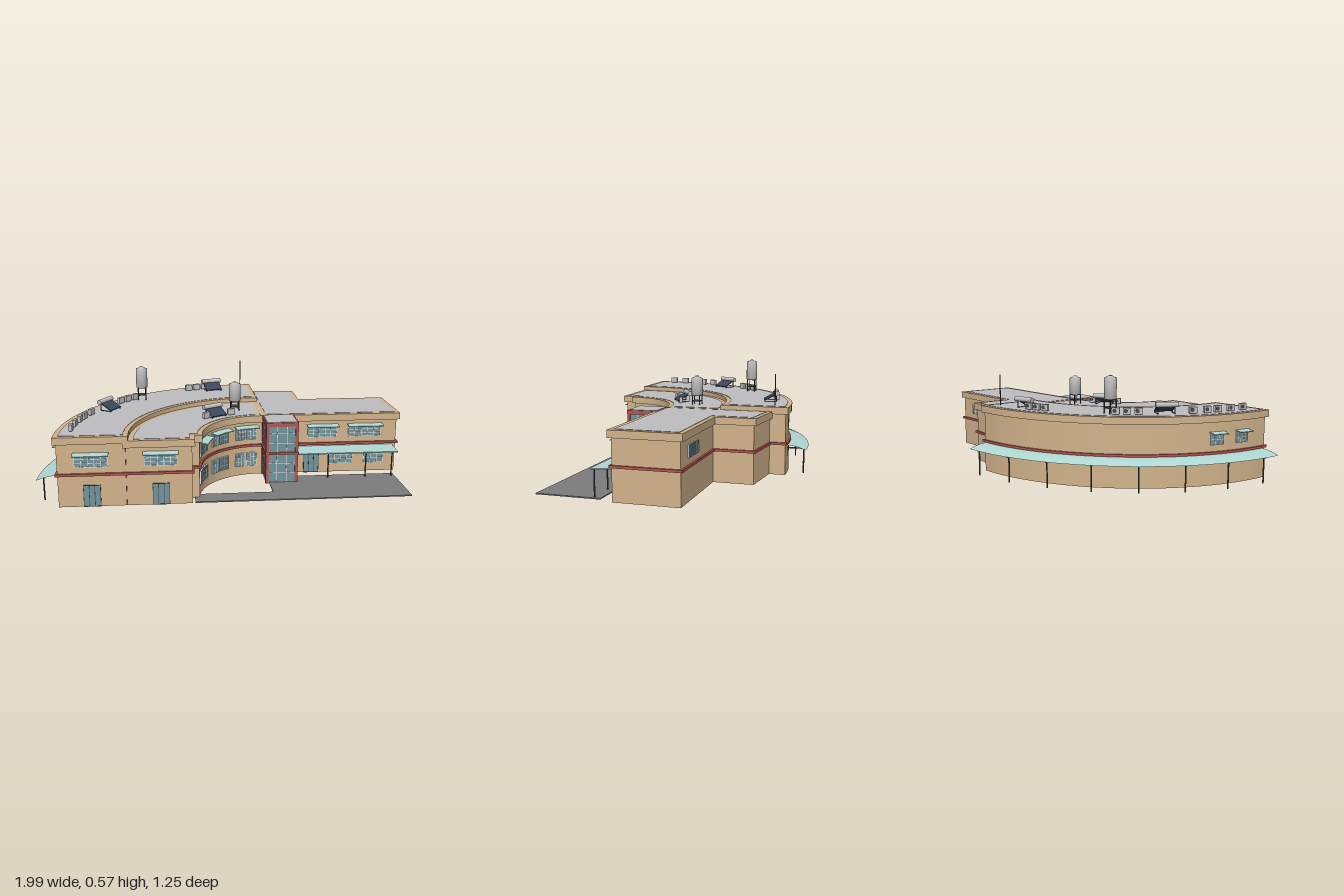
import * as THREE from 'three';

const PI = Math.PI;
const mat = (name, color, side = THREE.FrontSide) => {
  const m = new THREE.MeshStandardMaterial({ color, side });
  m.name = name;
  return m;
};

// Arc of plan points [x, z]; angle PI is -x, 1.5 PI is -z
const arc = (cx, cz, r, a0, a1, n = 40) =>
  Array.from({ length: n + 1 }, (_, i) => {
    const a = a0 + ((a1 - a0) * i) / n;
    return [cx + r * Math.cos(a), cz + r * Math.sin(a)];
  });

// Mitred offset of a closed plan, positive is outward
function offset(pts, d) {
  const n = pts.length;
  let area = 0;
  pts.forEach(([x, z], i) => {
    const q = pts[(i + 1) % n];
    area += x * q[1] - q[0] * z;
  });
  const s = Math.sign(area);
  const normal = (p, q) => {
    const dx = q[0] - p[0], dz = q[1] - p[1], l = Math.hypot(dx, dz);
    return [(s * dz) / l, (-s * dx) / l];
  };
  return pts.map((p, i) => {
    const a = normal(pts[(i + n - 1) % n], p), b = normal(p, pts[(i + 1) % n]);
    const k = d / (1 + a[0] * b[0] + a[1] * b[1]);
    return [p[0] + k * (a[0] + b[0]), p[1] + k * (a[1] + b[1])];
  });
}

export function createModel() {
  const M = {
    wall: mat('tan wall', 0xd2b48c),
    roof: mat('grey roof', 0xbebec1),
    red: mat('red trim', 0xb5544f),
    glass: mat('blue glass', 0x73959d),
    canopy: mat('pale teal canopy', 0xb0d8d3, THREE.DoubleSide),
    paving: mat('dark paving', 0x7c7c7c),
    metal: mat('tank metal', 0xc2c2c2),
    panel: mat('solar panel blue', 0x3b475c),
    dark: mat('dark steel', 0x44484a),
    white: mat('white frame', 0xe6e8e8),
  };
  const model = new THREE.Group();
  model.name = 'building';

  const add = (parent, name, geo, m, x = 0, y = 0, z = 0) => {
    const mesh = new THREE.Mesh(geo, m);
    mesh.name = name;
    mesh.position.set(x, y, z);
    parent.add(mesh);
    return mesh;
  };
  const box = (p, name, m, w, h, d, x, y, z) => add(p, name, new THREE.BoxGeometry(w, h, d), m, x, y, z);
  const rod = (p, name, m, r, h, x, y, z, n = 8) => add(p, name, new THREE.CylinderGeometry(r, r, h, n), m, x, y, z);
  const group = (name, x, y, z, rotY = 0) => {
    const g = new THREE.Group();
    g.name = name;
    g.position.set(x, y, z);
    g.rotation.y = rotY;
    model.add(g);
    return g;
  };
  const slab = (name, pts, y0, y1, m) => {
    const shape = new THREE.Shape(pts.map(([x, z]) => new THREE.Vector2(x, -z)));
    const geo = new THREE.ExtrudeGeometry(shape, { depth: y1 - y0, bevelEnabled: false });
    geo.rotateX(-PI / 2);
    add(model, name, geo, m, 0, y0, 0);
  };

  // Plans of the two curved wings and the straight wing
  const CX = 0.185, CZ = 0.555;
  const outer = [[-0.9, 0.59], ...arc(CX, CZ, 1.085, PI, 1.5 * PI), [0.215, -0.53], [0.215, -0.156],
    ...arc(CX, CZ, 0.711, 1.5 * PI, PI), [-0.526, 0.59]];
  const innerPlan = (r) => [[CX - r, 0.59], ...arc(CX, CZ, r, PI, 1.5 * PI), [0.215, CZ - r], [0.215, 0.17],
    ...arc(0.2, 0.52, 0.35, 1.5 * PI, PI), [-0.19, 0.52], [-0.19, 0.59]];
  const wingPlan = (x) => [[x, -0.445], [0.48, -0.415], [0.48, -0.2], [1, -0.2], [1, 0.17], [x, 0.17]];

  for (const [name, plan, roofPlan, top] of [
    ['outerWing', outer, outer, 0.372],
    ['innerWing', innerPlan(0.74), innerPlan(0.711), 0.348],
    ['straightWing', wingPlan(0.18), wingPlan(0.205), 0.347],
  ]) {
    slab(name + 'Walls', offset(plan, -0.015), 0, top - 0.03, M.wall);
    slab(name + 'Coping', plan, top - 0.038, top, M.wall);
    slab(name + 'Roof', offset(roofPlan, -0.025), top - 0.01, top + 0.002, M.roof);
    slab(name + 'Stripe', offset(plan, -0.004), 0.166, 0.179, M.red);
  }

  // Paved forecourt
  slab('forecourt', [[-0.19, 0.575], [-0.19, 0.465], [0.23, 0.465], [0.23, 0.23], [0.955, 0.23], [0.955, 0.575]], 0, 0.006, M.paving);

  // Glazed window or door, local +z faces out of the wall
  const opening = (name, x, y0, z, rotY, w, h, cols, rows, shade, frame = M.white) => {
    const g = group(name, x, y0 + h / 2, z, rotY);
    box(g, 'glass', M.glass, w, h, 0.006, 0, 0, 0.001);
    for (let i = 0; i <= cols; i++) box(g, 'mullion', frame, 0.003, h, 0.008, -w / 2 + (w * i) / cols, 0, 0.002);
    for (let j = 0; j <= rows; j++) box(g, 'rail', frame, w, 0.003, 0.008, 0, -h / 2 + (h * j) / rows, 0.002);
    if (shade) box(g, 'sunshade', M.canopy, w + 0.015, 0.005, 0.045, 0, h / 2 + 0.008, 0.0225).rotation.x = 0.12;
  };

  // Front ends of the curved wings
  for (const x of [-0.715, -0.365]) {
    opening('endWindow', x, 0.212, 0.575, 0, 0.165, 0.062, 5, 3, true);
    opening('endDoor', x, 0.002, 0.575, 0, 0.085, 0.112, 3, 1, false, M.dark);
  }
  // Straight wing, front and back
  opening('wingWindow', 0.555, 0.212, 0.155, 0, 0.165, 0.062, 5, 3, true);
  opening('wingWindow', 0.8, 0.212, 0.155, 0, 0.185, 0.062, 5, 3, true);
  opening('wingDoor', 0.495, 0.002, 0.155, 0, 0.085, 0.112, 3, 1, false, M.dark);
  opening('wingLowerWindow', 0.665, 0.052, 0.155, 0, 0.14, 0.078, 4, 3, false);
  opening('wingLowerWindow', 0.86, 0.052, 0.155, 0, 0.11, 0.078, 3, 3, false);
  opening('backWindow', 0.8, 0.212, -0.185, PI, 0.15, 0.062, 5, 3, false);
  // Courtyard curve, two floors
  for (const deg of [14, 25, 43, 54, 71, 82]) {
    const a = (deg * PI) / 180, c = Math.cos(a), s = Math.sin(a), rot = Math.atan2(c, s);
    opening('courtUpperWindow', 0.2 - 0.363 * c, 0.21, 0.52 - 0.363 * s, rot, 0.056, 0.068, 3, 3, true);
    opening('courtLowerWindow', 0.2 - 0.363 * c, 0.055, 0.52 - 0.363 * s, rot, 0.056, 0.075, 3, 3, false);
  }
  // Polar position on the big curve, angle measured from -x towards -z
  const polar = (deg, r) => {
    const a = (deg * PI) / 180, c = -Math.cos(a), s = -Math.sin(a);
    return { x: CX + r * c, z: CZ + r * s, rot: Math.atan2(c, s) };
  };
  for (const deg of [8.5, 17]) {
    const p = polar(deg, 1.07);
    opening('outerWindow', p.x, 0.215, p.z, p.rot, 0.075, 0.055, 3, 2, true);
  }

  // Glazed entrance tower
  const tower = group('entranceTower', 0.2975, 0, 0.24);
  box(tower, 'towerGlass', M.glass, 0.165, 0.33, 0.16, 0, 0.165, 0);
  box(tower, 'towerCap', M.red, 0.18, 0.022, 0.172, 0, 0.336, 0);
  box(tower, 'towerRoof', M.roof, 0.166, 0.006, 0.16, 0, 0.347, 0);
  box(tower, 'towerStripe', M.red, 0.185, 0.013, 0.176, 0, 0.1725, 0);
  for (const sx of [-1, 1]) for (const sz of [-1, 1])
    box(tower, 'towerCorner', M.red, 0.016, 0.335, 0.016, sx * 0.081, 0.1675, sz * 0.077);
  for (const t of [-0.027, 0.027]) {
    box(tower, 'frontMullion', M.white, 0.003, 0.325, 0.004, t, 0.1625, 0.08);
    for (const sx of [-1, 1]) box(tower, 'sideMullion', M.white, 0.004, 0.325, 0.003, sx * 0.083, 0.1625, t);
  }
  for (const y of [0.06, 0.115, 0.23, 0.285]) box(tower, 'towerRail', M.white, 0.169, 0.003, 0.163, 0, y, 0);

  // Flat canopy over the straight wing's entrance
  box(model, 'entranceCanopy', M.canopy, 0.58, 0.006, 0.122, 0.675, 0.152, 0.215).rotation.x = 0.06;
  for (const x of [0.57, 0.785, 0.935]) rod(model, 'entranceCanopyPost', M.dark, 0.004, 0.148, x, 0.074, 0.268);

  // Curved canopy round the back with posts and arms
  const profile = [[1.065, 0.164], [1.1, 0.162], [1.14, 0.154], [1.18, 0.14]].map(([r, y]) => new THREE.Vector2(r, y));
  add(model, 'curvedCanopy', new THREE.LatheGeometry(profile, 48, PI, PI / 2), M.canopy, CX, 0, CZ);
  for (let i = 0; i < 8; i++) {
    const p = polar(4.5 + i * 11.75, 1.16);
    const g = group('canopySupport', p.x, 0, p.z, p.rot);
    rod(g, 'post', M.dark, 0.004, 0.145, 0, 0.0725, 0);
    box(g, 'arm', M.dark, 0.005, 0.006, 0.11, 0, 0.138, -0.04);
  }

  // Water tanks on legged stands
  for (const [x, z, roofY, bottom, top] of [[-0.47, -0.17, 0.372, 0.45, 0.572], [0.065, 0.027, 0.348, 0.405, 0.514]]) {
    const g = group('waterTank', x, 0, z);
    const h = top - bottom, r = 0.033;
    const pts = [[0, 0], [r, 0], [r, h - 0.013], [0.012, h - 0.004], [0.011, h], [0, h]];
    const geo = new THREE.LatheGeometry(pts.map(([a, b]) => new THREE.Vector2(a, b)), 24);
    add(g, 'tankBody', geo, M.metal, 0, bottom, 0);
    for (const sx of [-1, 1]) for (const sz of [-1, 1])
      rod(g, 'standLeg', M.dark, 0.003, bottom - roofY, sx * 0.022, (bottom + roofY) / 2, sz * 0.022);
    for (const t of [0.4, 0.96]) box(g, 'standBrace', M.dark, 0.05, 0.004, 0.05, 0, roofY + (bottom - roofY) * t, 0);
  }

  // Solar water heaters, storage drum on the outward side
  for (const [x, z, y] of [[-0.035, -0.385, 0.373], [-0.645, 0.055, 0.373], [-0.055, 0.155, 0.349]]) {
    const g = group('solarHeater', x, y, z, Math.atan2(x - CX, z - CZ));
    box(g, 'collector', M.panel, 0.1, 0.006, 0.075, 0, 0.026, -0.005).rotation.x = -0.5;
    rod(g, 'drum', M.metal, 0.014, 0.12, 0, 0.05, 0.032, 16).rotation.z = PI / 2;
    for (const sx of [-1, 1]) {
      box(g, 'leg', M.dark, 0.004, 0.048, 0.004, sx * 0.045, 0.024, 0.03);
      box(g, 'foot', M.dark, 0.004, 0.004, 0.07, sx * 0.045, 0.002, -0.003);
    }
  }

  // Air conditioning units
  const units = [4.9, 9.8, 14.6, 18.3, 23, 39.4, 42.8, 46.1, 68.4, 71.4, 74.4].map((a) => [a, 1.005, 0.373]);
  units.push([50, 0.46, 0.349], [70, 0.445, 0.349]);
  for (const [deg, r, y] of units) {
    const p = polar(deg, r);
    const g = group('airConditioner', p.x, y, p.z, p.rot);
    box(g, 'case', M.metal, 0.042, 0.032, 0.018, 0, 0.02, 0);
    box(g, 'base', M.dark, 0.036, 0.004, 0.014, 0, 0.002, 0);
    const fan = rod(g, 'fan', M.dark, 0.011, 0.002, -0.006, 0.02, 0.009, 12);
    fan.rotation.x = PI / 2;
  }

  // Antenna mast
  rod(model, 'antenna', M.dark, 0.003, 0.175, 0.145, 0.457, -0.445);

  return model;
}
